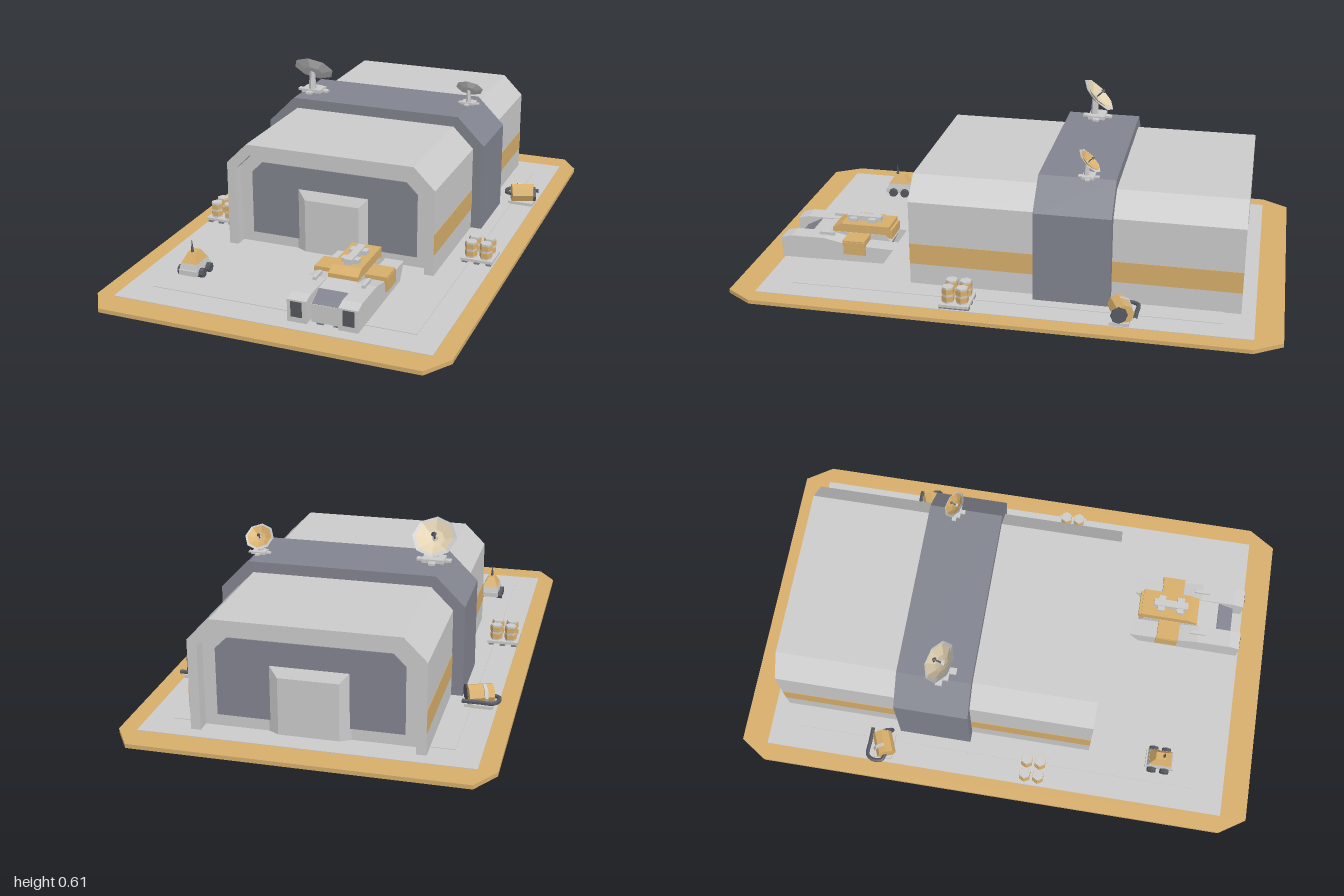
import * as THREE from 'three';

const mat = (color, side = THREE.FrontSide) =>
  new THREE.MeshStandardMaterial({ color, side, flatShading: true });
const GREY = mat(0xcccccc), DARK = mat(0x82848f), ORANGE = mat(0xd7ae6b), BLACK = mat(0x55585f);
const GREY2 = mat(0xcccccc, THREE.DoubleSide), TAN2 = mat(0xe0d0b0, THREE.DoubleSide);
const ORANGE2 = mat(0xd7ae6b, THREE.DoubleSide);

function add(parent, name, geo, material, x = 0, y = 0, z = 0) {
  const m = new THREE.Mesh(geo, material);
  m.name = name;
  m.position.set(x, y, z);
  parent.add(m);
  return m;
}
// Box given by its limits on each axis
const box = (p, name, m, x0, x1, y0, y1, z0, z1) =>
  add(p, name, new THREE.BoxGeometry(x1 - x0, y1 - y0, z1 - z0), m, (x0 + x1) / 2, (y0 + y1) / 2, (z0 + z1) / 2);
const shapeOf = pts => new THREE.Shape(pts.map(p => new THREE.Vector2(...p)));
const extrude = (pts, depth) => new THREE.ExtrudeGeometry(shapeOf(pts), { depth, bevelEnabled: false });
// Profile in (z, y) extruded across x
function sideExtrude(p, name, m, pts, x0, x1) {
  return add(p, name, extrude(pts, x1 - x0).rotateY(-Math.PI / 2), m, x1);
}
function group(parent, name, x = 0, y = 0, z = 0) {
  const g = new THREE.Group();
  g.name = name;
  g.position.set(x, y, z);
  parent.add(g);
  return g;
}

// Half-octagon arch: half width, top, chamfer, floor
const arch = (w, h, c, y0) => [[-w, y0], [w, y0], [w, h - c], [w - c, h], [c - w, h], [-w, h - c]];
const FLOOR = 0.018;

function addPlatform(root) {
  const g = group(root, 'platform');
  const oct = [[-0.58, -1], [0.58, -1], [0.645, -0.9], [0.645, 0.9], [0.58, 1], [-0.58, 1], [-0.645, 0.9], [-0.645, -0.9]];
  add(g, 'border', extrude(oct, 0.015).rotateX(-Math.PI / 2), ORANGE, 0, 0.001);
  box(g, 'pad', GREY, -0.58, 0.58, 0, FLOOR, -0.9, 0.9);
  box(g, 'padInset', GREY, -0.49, 0.49, FLOOR - 0.005, FLOOR + 0.002, -0.79, 0.79);
}

function addHangar(root) {
  const g = group(root, 'hangar');
  const zMid = -0.245, half = 0.605, wall = half - 0.05;
  // Outer shell, open at both ends
  const rim = [[-0.405, FLOOR], [-0.405, 0.345], [-0.325, 0.425], [0.325, 0.425], [0.405, 0.345], [0.405, FLOOR],
    [0.37, FLOOR], [0.37, 0.325], [0.31, 0.385], [-0.31, 0.385], [-0.37, 0.325], [-0.37, FLOOR]];
  add(g, 'shell', extrude(rim, half * 2), GREY, 0, 0, zMid - half);
  add(g, 'core', extrude(arch(0.372, 0.387, 0.06, FLOOR), wall * 2), GREY, 0, 0, zMid - wall);
  // Central collar
  add(g, 'collar', extrude(arch(0.447, 0.465, 0.106, FLOOR), 0.28), DARK, 0, 0, -0.387);
  // Painted stripes
  for (const s of [-1, 1])
    add(g, 'stripe', new THREE.BoxGeometry(0.003, 0.08, half * 2), ORANGE, s * 0.405, 0.14, zMid);
  // Matching end walls
  for (const s of [1, -1]) {
    const end = group(g, 'endWall', 0, 0, zMid + s * wall);
    if (s < 0) end.rotation.y = Math.PI;
    add(end, 'wallPanel', extrude(arch(0.325, 0.345, 0.042, 0.06), 0.004), DARK);
    // Door slab with a sloping border
    const door = new THREE.BoxGeometry(0.286, 0.247, 0.02).translate(0, 0.1235, 0.01);
    const p = door.attributes.position;
    for (let i = 0; i < p.count; i++)
      if (p.getZ(i) > 0.01) p.setXY(i, p.getX(i) * 0.74, p.getY(i) * 0.84);
    door.computeVertexNormals();
    add(end, 'door', door, GREY, 0, FLOOR, 0.001);
  }
}

function addDish(root, x, z, r, height, inner) {
  const g = group(root, 'dishAntenna', x, 0.465, z);
  box(g, 'base', GREY, -r * 0.5, r * 0.5, 0, r * 0.17, -r * 0.4, r * 0.4);
  for (const s of [-1, 1]) {
    box(g, 'foot', GREY, s * r * 0.6 - r * 0.17, s * r * 0.6 + r * 0.17, 0, r * 0.1, -r * 0.15, r * 0.15);
    box(g, 'foot', GREY, -r * 0.15, r * 0.15, 0, r * 0.1, s * r * 0.5 - r * 0.2, s * r * 0.5 + r * 0.2);
  }
  add(g, 'post', new THREE.CylinderGeometry(r * 0.13, r * 0.2, height, 6), GREY, 0, height / 2, r * 0.15);
  const bowl = group(g, 'bowl', 0, height, 0);
  bowl.rotation.x = -Math.PI / 4;
  const profile = k => [[0, -0.22], [0.5, -0.15], [1, 0.06]].map(([a, b]) => new THREE.Vector2(a * r * k, b * r));
  add(bowl, 'reflector', new THREE.LatheGeometry(profile(1), 8), GREY2);
  add(bowl, 'reflectorLining', new THREE.LatheGeometry(profile(0.85), 8), inner, 0, r * 0.05);
  add(bowl, 'feed', new THREE.CylinderGeometry(r * 0.03, r * 0.05, r * 0.55, 5), BLACK, 0, r * 0.1);
  add(bowl, 'feedTip', new THREE.ConeGeometry(r * 0.13, r * 0.15, 6), BLACK, 0, r * 0.4);
}

function addBarrels(root, x) {
  const g = group(root, 'barrelPallet', x, FLOOR, 0.153);
  box(g, 'pallet', GREY, -0.06, 0.06, 0.008, 0.018, -0.055, 0.055);
  for (const s of [-0.045, 0, 0.045]) box(g, 'palletRunner', DARK, s - 0.01, s + 0.01, 0, 0.008, -0.055, 0.055);
  for (const sx of [-1, 1]) for (const sz of [-1, 1]) {
    const bx = sx * 0.028, bz = sz * 0.026;
    const hex = (r, h) => new THREE.CylinderGeometry(r, r, h, 6).rotateY(Math.PI / 6);
    add(g, 'barrel', hex(0.022, 0.06), GREY, bx, 0.048, bz);
    for (const y of [0.034, 0.062]) add(g, 'barrelBand', hex(0.024, 0.019), ORANGE, bx, y, bz);
  }
}

function addGenerator(root, x) {
  const g = group(root, 'generator', x, FLOOR, -0.437);
  box(g, 'skid', GREY, -0.05, 0.05, 0, 0.012, -0.035, 0.035);
  const drum = (name, r, len, m, dx) =>
    add(g, name, new THREE.CylinderGeometry(r, r, len, 8).rotateX(Math.PI / 8).rotateZ(Math.PI / 2), m, dx, 0.042, 0);
  drum('drum', 0.037, 0.09, ORANGE, 0);
  drum('drumBand', 0.039, 0.012, GREY, -0.015);
  drum('drumEnd', 0.031, 0.008, BLACK, 0.048);
  const path = new THREE.CatmullRomCurve3([[-0.04, 0.01], [-0.065, 0.002], [-0.07, -0.03], [-0.055, -0.055], [0, -0.056], [0.055, -0.056]]
    .map(([a, b]) => new THREE.Vector3(a, 0.035, b)));
  add(g, 'pipe', new THREE.TubeGeometry(path, 20, 0.008, 6), BLACK);
}

function addRover(root) {
  const g = group(root, 'rover', -0.403, FLOOR, 0.64);
  box(g, 'chassis', GREY, -0.035, 0.035, 0.013, 0.032, -0.055, 0.055);
  for (const s of [-1, 1]) for (const z of [-0.028, 0.022])
    add(g, 'wheel', new THREE.CylinderGeometry(0.018, 0.018, 0.022, 8).rotateZ(Math.PI / 2), BLACK, s * 0.039, 0.018, z);
  // Tapered square hull
  const taper = (r0, r1, h) => new THREE.CylinderGeometry(r1, r0, h, 4).rotateY(Math.PI / 4).scale(1, 1, 1.4);
  add(g, 'hull', taper(0.05, 0.044, 0.024), GREY, 0, 0.042);
  add(g, 'turret', taper(0.044, 0.02, 0.036), ORANGE, 0, 0.071);
  add(g, 'antenna', new THREE.ConeGeometry(0.007, 0.055, 5), BLACK, 0, 0.11, 0.012);
}

function addShip(root) {
  const g = group(root, 'shuttle', 0.199, 0, 0);
  const pod = [[0.89, 0.04], [0.89, 0.12], [0.85, 0.13], [0.72, 0.13], [0.62, 0.11], [0.45, 0.105], [0.49, 0.045]];
  // Side pods with intakes and fins
  for (const s of [-1, 1]) {
    const [a, b] = s > 0 ? [0.056, 0.125] : [-0.125, -0.056];
    sideExtrude(g, 'sidePod', GREY, pod, a, b);
    add(g, 'intake', new THREE.BoxGeometry(0.04, 0.055, 0.004), BLACK, s * 0.092, 0.087, 0.89);
    add(g, 'podFin', new THREE.BoxGeometry(0.012, 0.012, 0.06), GREY, s * 0.088, 0.135, 0.72);
    add(g, 'sidePanel', new THREE.BoxGeometry(0.012, 0.05, 0.085), ORANGE, s * 0.128, 0.1, 0.6);
    box(g, 'landingSkid', DARK, s * 0.03 - 0.012, s * 0.03 + 0.012, FLOOR, 0.045, 0.58, 0.84);
  }
  // Centre hull with sloping nose window
  sideExtrude(g, 'hull', GREY, [[0.85, 0.03], [0.85, 0.095], [0.79, 0.125], [0.71, 0.13], [0.5, 0.13], [0.48, 0.1], [0.51, 0.04]], -0.055, 0.055);
  sideExtrude(g, 'window', DARK, [[0.846, 0.094], [0.851, 0.097], [0.792, 0.127], [0.788, 0.122]], -0.053, 0.053);
  sideExtrude(g, 'cabinRoof', ORANGE, [[0.71, 0.125], [0.71, 0.145], [0.675, 0.163], [0.485, 0.163], [0.485, 0.12]], -0.054, 0.054);
  box(g, 'wingBox', ORANGE, -0.132, 0.132, 0.105, 0.13, 0.56, 0.645);
  box(g, 'rearRoof', ORANGE, -0.05, 0.05, 0.115, 0.15, 0.475, 0.49);
  // Roof equipment
  box(g, 'roofRail', GREY, -0.014, 0.014, 0.16, 0.183, 0.53, 0.665);
  for (const z of [0.56, 0.635]) box(g, 'roofCross', GREY, -0.032, 0.032, 0.16, 0.178, z - 0.014, z + 0.014);
}

export function createModel() {
  const root = new THREE.Group();
  root.name = 'hangarBase';
  addPlatform(root);
  addHangar(root);
  addDish(root, -0.305, -0.225, 0.082, 0.088, TAN2);
  addDish(root, 0.331, -0.287, 0.054, 0.06, ORANGE2);
  for (const x of [-0.524, 0.519]) addBarrels(root, x);
  for (const x of [-0.516, 0.527]) addGenerator(root, x);
  addRover(root);
  addShip(root);
  return root;
}
